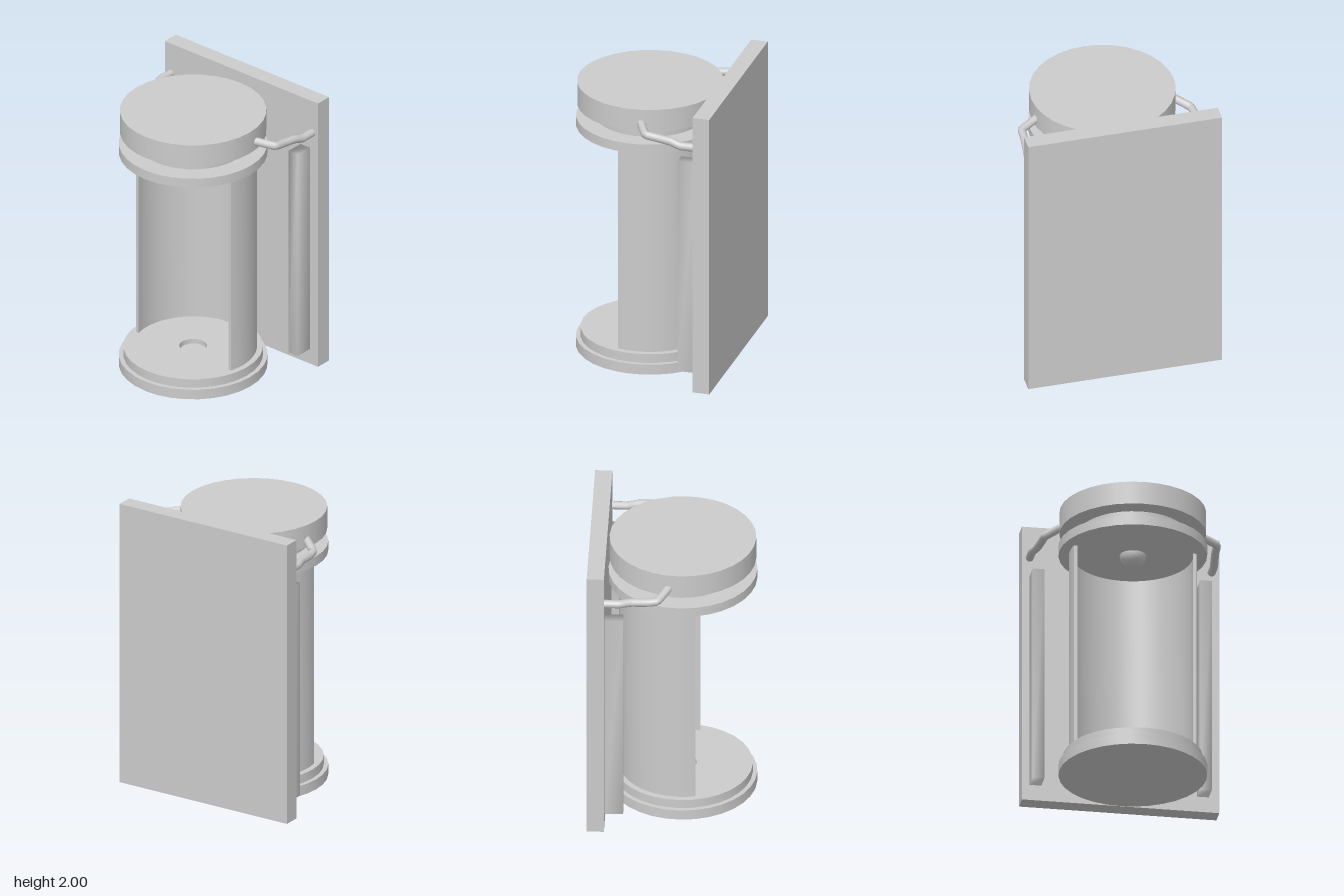
import * as THREE from 'three';
import { mergeVertices, toCreasedNormals } from 'three/addons/utils/BufferGeometryUtils.js';

const AXIS_Z = 0.057; // the lantern's upright axis
const SIDES = 32;

export function createModel() {
  const model = new THREE.Group();
  model.name = 'wallLantern';
  const material = new THREE.MeshStandardMaterial({ color: 0xcccccc });

  const add = (name, geometry, x = 0, y = 0, z = 0) => {
    const mesh = new THREE.Mesh(geometry, material);
    mesh.name = name;
    mesh.position.set(x, y, z);
    model.add(mesh);
    return mesh;
  };
  const disc = (name, radius, bottom, top) =>
    add(name, new THREE.CylinderGeometry(radius, radius, top - bottom, SIDES), 0, (bottom + top) / 2, AXIS_Z);

  // Wall board
  add('backBoard', new THREE.BoxGeometry(1.33, 2, 0.115), 0, 1, -0.498);

  // Stepped base with a shallow round socket
  const baseProfile = [
    [0, 0], [0.495, 0], [0.495, 0.072], [0.465, 0.072], [0.465, 0.135],
    [0.092, 0.135], [0.092, 0.1], [0, 0.1],
  ].map(([r, y]) => new THREE.Vector2(r, y));
  add('base', toCreasedNormals(new THREE.LatheGeometry(baseProfile, SIDES), 0.6), 0, 0, AXIS_Z);

  // Curved rear shell, open at the front
  const outer = 0.425, inner = 0.402, lip = 0.1;
  const a = Math.asin(lip / outer), b = Math.asin(lip / inner);
  const section = new THREE.Shape();
  section.absarc(0, 0, outer, -a, Math.PI + a, false);
  section.absarc(0, 0, inner, Math.PI + b, -b, true);
  section.closePath();
  const shell = new THREE.ExtrudeGeometry(section, { depth: 1.475, bevelEnabled: false, curveSegments: 20 });
  shell.rotateX(-Math.PI / 2);
  add('shell', toCreasedNormals(shell, 0.6), 0, 0.135, AXIS_Z);

  // Collar, neck and cap
  disc('collar', 0.495, 1.608, 1.675);
  disc('neck', 0.365, 1.675, 1.765);
  disc('cap', 0.488, 1.765, 1.925);

  // Bulb hanging under the collar
  add('bulb', new THREE.SphereGeometry(0.088, 24, 16), 0, 1.61, AXIS_Z);

  // Upright rails with softened shading
  const rail = new THREE.BoxGeometry(0.08, 1.53, 0.125);
  rail.deleteAttribute('normal');
  rail.deleteAttribute('uv');
  const softRail = mergeVertices(rail);
  softRail.computeVertexNormals();
  add('leftRail', softRail, 0.555, 0.875, -0.3775);
  add('rightRail', softRail, -0.573, 0.875, -0.3775);

  // Bent arms from the cap to the board
  const arm = (name, points) => {
    const path = new THREE.CatmullRomCurve3(points.map((p) => new THREE.Vector3(...p)), false, 'catmullrom', 0.15);
    add(name, new THREE.TubeGeometry(path, 30, 0.028, 10, false));
  };
  arm('leftArm', [
    [0.43, 1.83, 0], [0.485, 1.82, -0.03], [0.59, 1.8, -0.09], [0.595, 1.79, -0.17],
    [0.605, 1.78, -0.27], [0.613, 1.76, -0.34], [0.613, 1.76, -0.45],
  ]);
  arm('rightArm', [
    [-0.43, 1.83, 0], [-0.485, 1.81, -0.03], [-0.568, 1.775, -0.09], [-0.578, 1.77, -0.16],
    [-0.59, 1.775, -0.27], [-0.612, 1.775, -0.34], [-0.612, 1.775, -0.45],
  ]);

  return model;
}
